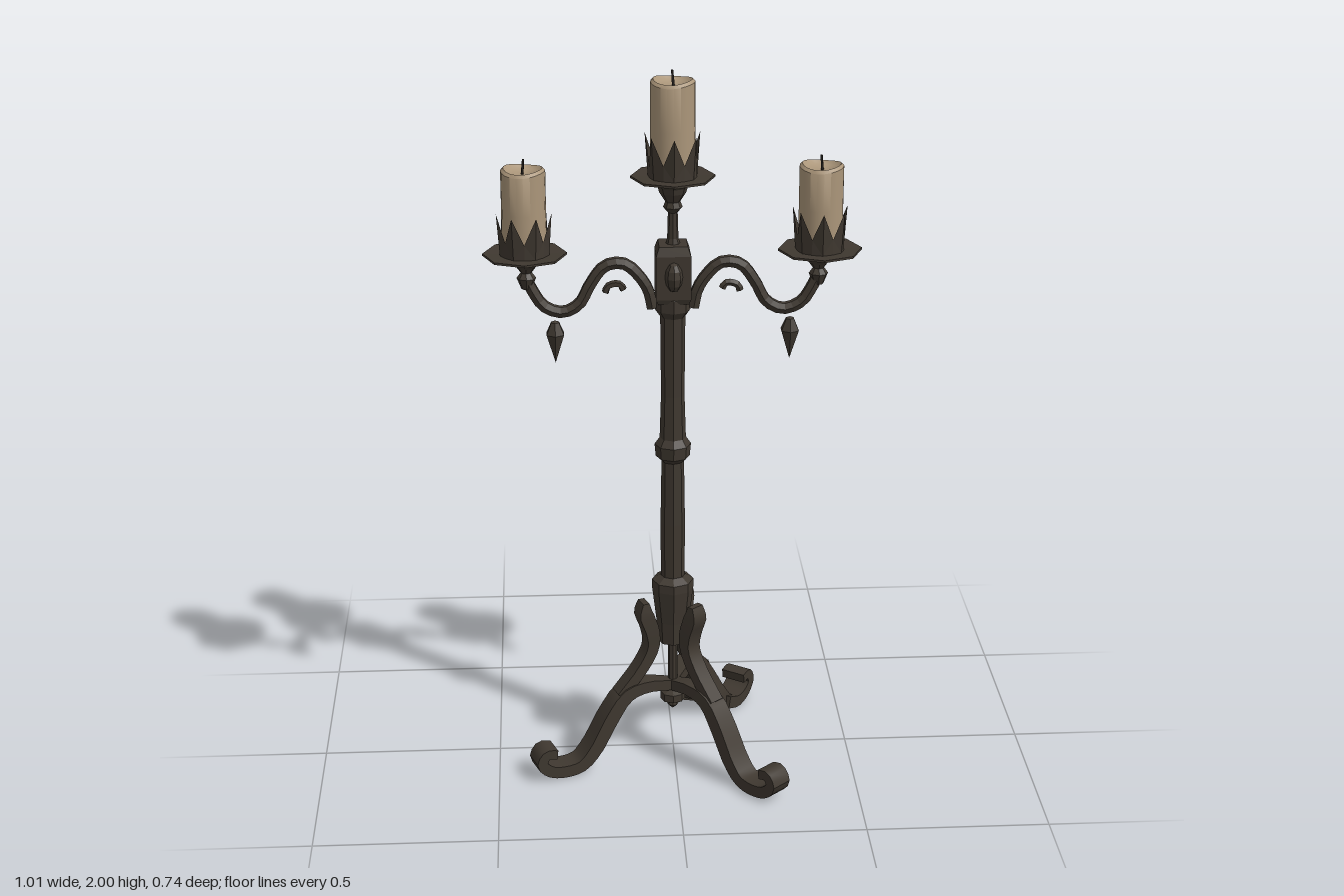
import * as THREE from 'three';
import { toCreasedNormals } from 'three/addons/utils/BufferGeometryUtils.js';

const iron = new THREE.MeshStandardMaterial({ color: 0x3f3830, side: THREE.DoubleSide });
iron.name = 'dark iron';
const wax = new THREE.MeshStandardMaterial({ color: 0xab967a });
wax.name = 'candle wax';
const soot = new THREE.MeshStandardMaterial({ color: 0x211d1a });
soot.name = 'burnt wick';

const v2 = (a) => a.map(([x, y]) => new THREE.Vector2(x, y));
const v3 = (a) => a.map(([x, y]) => new THREE.Vector3(x, y, 0));

// Faceted normals
function faceted(geo) {
  const g = geo.index ? geo.toNonIndexed() : geo;
  g.computeVertexNormals();
  return g;
}

function add(parent, name, geo, mat, x = 0, y = 0, z = 0) {
  const m = new THREE.Mesh(geo, mat);
  m.name = name;
  m.position.set(x, y, z);
  parent.add(m);
  return m;
}

const turned = (profile, sides) => faceted(new THREE.LatheGeometry(v2(profile), sides));

// Flat bar swept along a path of [x, y, width, thickness]
function bar(path, steps) {
  const curve = new THREE.CatmullRomCurve3(v3(path));
  const pos = [], idx = [];
  for (let i = 0; i <= steps; i++) {
    const u = i / steps;
    const p = curve.getPoint(u), t = curve.getTangent(u);
    const f = u * (path.length - 1), k = Math.min(Math.floor(f), path.length - 2);
    const w = THREE.MathUtils.lerp(path[k][2], path[k + 1][2], f - k) / 2;
    const h = THREE.MathUtils.lerp(path[k][3], path[k + 1][3], f - k) / 2;
    for (const [a, b] of [[1, 1], [1, -1], [-1, -1], [-1, 1]])
      pos.push(p.x - t.y * h * a, p.y + t.x * h * a, w * b);
  }
  for (let i = 0; i < steps; i++) {
    for (let j = 0; j < 4; j++) {
      const a = i * 4 + j, b = i * 4 + (j + 1) % 4;
      idx.push(a, a + 4, b + 4, a, b + 4, b);
    }
  }
  const e = steps * 4;
  idx.push(0, 1, 2, 0, 2, 3, e, e + 2, e + 1, e, e + 3, e + 2);
  const g = new THREE.BufferGeometry();
  g.setAttribute('position', new THREE.Float32BufferAttribute(pos, 3));
  g.setIndex(idx);
  return toCreasedNormals(g, 0.6);
}

// Ring of pointed leaves around the candle foot
function crownGeometry(points) {
  const pos = [];
  const at = (k, r, y) => {
    const a = (k / points) * Math.PI * 2;
    return [Math.sin(a) * r, y, Math.cos(a) * r];
  };
  for (let i = 0; i < points; i++) {
    const b0 = at(i - 0.5, 0.064, 0), b1 = at(i + 0.5, 0.064, 0), bm = at(i, 0.067, 0);
    const l = at(i - 0.5, 0.064, 0.042), r = at(i + 0.5, 0.064, 0.042);
    const tip = at(i, 0.075, 0.115);
    pos.push(...b0, ...bm, ...l, ...l, ...bm, ...tip, ...bm, ...b1, ...r, ...bm, ...r, ...tip);
  }
  const g = new THREE.BufferGeometry();
  g.setAttribute('position', new THREE.Float32BufferAttribute(pos, 3));
  g.computeVertexNormals();
  return g;
}

// Candle with a slightly melted, dished top
function candleGeometry(h) {
  const g = new THREE.LatheGeometry(v2([[0, 0], [0.06, 0], [0.059, h * 0.5], [0.059, h - 0.008],
    [0.052, h], [0.042, h - 0.01], [0, h - 0.016]]), 20);
  const p = g.attributes.position;
  for (let i = 0; i < p.count; i++) {
    if (p.getY(i) < h * 0.9) continue;
    const a = Math.atan2(p.getZ(i), p.getX(i));
    p.setY(i, p.getY(i) + 0.004 * Math.sin(a * 2 + 1) * Math.hypot(p.getX(i), p.getZ(i)) / 0.059);
  }
  return toCreasedNormals(g, 0.7);
}

// Drip plate, leaf crown, candle and wick; origin at the plate
function sconce(h) {
  const g = new THREE.Group();
  g.name = 'candleHolder';
  add(g, 'dripPlate', turned([[0, -0.008], [0.07, -0.006], [0.112, 0], [0.112, 0.006], [0.07, 0.004], [0, 0.004]], 8), iron);
  add(g, 'leafCrown', crownGeometry(7), iron, 0, 0.004);
  add(g, 'candle', candleGeometry(h), wax, 0, 0.005);
  add(g, 'wick', new THREE.CylinderGeometry(0.003, 0.004, 0.045, 5), soot, 0, h + 0.008).rotation.z = 0.08;
  return g;
}

// Scrolled arm with its cup, hook, pendant and candle
function arm() {
  const g = new THREE.Group();
  g.name = 'arm';
  const path = new THREE.CatmullRomCurve3(v3([[0.055, 1.35], [0.066, 1.40], [0.09, 1.44], [0.13, 1.475],
    [0.18, 1.47], [0.22, 1.42], [0.25, 1.365], [0.295, 1.342], [0.345, 1.36], [0.375, 1.405], [0.387, 1.43]]));
  add(g, 'armScroll', faceted(new THREE.TubeGeometry(path, 24, 0.017, 6)), iron);
  const hook = new THREE.CatmullRomCurve3(v3([[0.132, 1.402], [0.14, 1.416], [0.158, 1.418], [0.175, 1.41], [0.18, 1.395]]));
  add(g, 'armHook', faceted(new THREE.TubeGeometry(hook, 7, 0.01, 5)), iron);
  add(g, 'armCup', turned([[0, 0], [0.014, 0], [0.026, 0.03], [0.015, 0.045], [0.026, 0.06], [0.055, 0.088], [0, 0.09]], 8), iron, 0.39, 1.41);
  add(g, 'pendant', turned([[0, 0], [0.027, 0.082], [0.012, 0.115], [0, 0.12]], 6), iron, 0.316, 1.198);
  const s = sconce(0.232);
  s.position.set(0.393, 1.503, 0);
  g.add(s);
  return g;
}

const footCurl = [[0.34, 0.018], [0.385, 0.028], [0.41, 0.055], [0.395, 0.082], [0.365, 0.078]];

// Leg bar and upright scroll; the split leg widens to two curled toes
function leg(degrees, split) {
  const g = new THREE.Group();
  g.name = split ? 'splitLeg' : 'leg';
  const arch = [[0, 0.215, 0.03, 0.03], [0.09, 0.23, 0.05, 0.034], [0.15, 0.215, 0.058, 0.04],
    [0.2, 0.15, split ? 0.09 : 0.06, 0.042], [0.25, 0.065, split ? 0.135 : 0.062, 0.04],
    [0.29, 0.025, split ? 0.15 : 0.062, 0.036]];
  const curl = footCurl.map(([x, y], i) => [x, y, split ? 0.074 : 0.064, 0.035 - i * 0.002]);
  if (split) {
    add(g, 'legBar', bar([...arch, [0.325, 0.018, 0.145, 0.03]], 18), iron);
    for (const s of [-1, 1]) {
      const toe = bar([[0.27, 0.035, 0.07, 0.036], ...curl.map(([x, ...r]) => [x - 0.015, ...r])], 14);
      add(g, 'toe', toe, iron).rotation.y = s * 0.18;
    }
  } else {
    add(g, 'legBar', bar([...arch, ...curl], 26), iron);
  }
  add(g, 'legScroll', bar([[0.088, 0.49, 0.04, 0.018], [0.088, 0.455, 0.05, 0.042], [0.07, 0.4, 0.05, 0.04],
    [0.068, 0.35, 0.045, 0.034], [0.1, 0.29, 0.045, 0.032], [0.165, 0.215, 0.045, 0.03]], 14), iron);
  g.rotation.y = THREE.MathUtils.degToRad(degrees);
  return g;
}

export function createModel() {
  const model = new THREE.Group();
  model.name = 'candelabra';
  const body = new THREE.Group();
  body.name = 'body';
  body.position.set(-0.003, 0, 0.03);
  model.add(body);

  // Central shaft from the bottom finial up
  add(body, 'finial', turned([[0, 0.135], [0.016, 0.15], [0.014, 0.162], [0.035, 0.168], [0.035, 0.19], [0.013, 0.2], [0.013, 0.38]], 8), iron);
  add(body, 'hub', turned([[0, 0.355], [0.042, 0.355], [0.046, 0.42], [0.058, 0.52], [0.058, 0.545], [0.035, 0.56]], 8), iron);
  add(body, 'column', turned([[0.033, 0.54], [0.034, 0.72], [0.031, 0.905], [0.047, 0.92], [0.05, 0.955],
    [0.036, 0.975], [0.032, 1.1], [0.034, 1.34]], 8), iron);

  // Square head with tapered collar and a boss on front and back
  const collar = turned([[0.034, 1.325], [0.048, 1.345], [0.048, 1.38], [0.04, 1.395]], 8);
  add(body, 'collar', collar, iron);
  const head = turned([[0, 1.37], [0.058, 1.37], [0.066, 1.385], [0.066, 1.505], [0.054, 1.53], [0, 1.53]], 4);
  add(body, 'head', head, iron).rotation.y = Math.PI / 4;
  for (const s of [-1, 1]) {
    const boss = add(body, 'headBoss', faceted(new THREE.SphereGeometry(0.03, 8, 6)), iron, 0, 1.45, s * 0.05);
    boss.scale.set(0.8, 1.35, 1);
  }

  // Middle candle on its stem
  add(body, 'stem', turned([[0.022, 1.52], [0.015, 1.545], [0.013, 1.615], [0.026, 1.63], [0.02, 1.645],
    [0.036, 1.67], [0.04, 1.685], [0.055, 1.703], [0, 1.705]], 8), iron);
  const middle = sconce(0.257);
  middle.position.y = 1.71;
  body.add(middle);

  // Side arms
  for (const turn of [0, Math.PI]) {
    const a = arm();
    a.rotation.y = turn;
    body.add(a);
  }

  // Three legs
  body.add(leg(-160, false), leg(-48, false), leg(66, true));
  return model;
}
